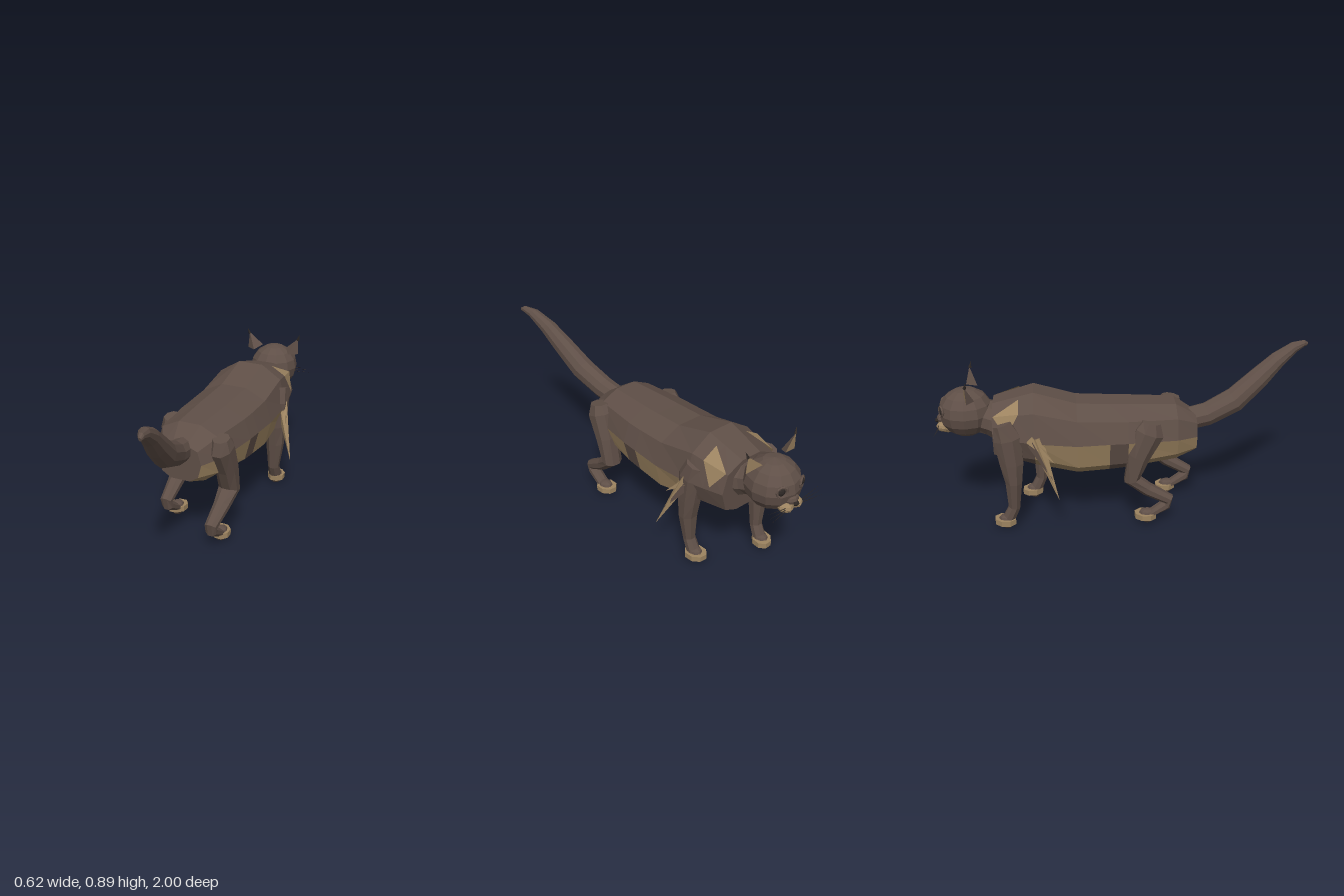
import * as THREE from 'three';

const flat = (name, color) => new THREE.MeshStandardMaterial({ name, color, flatShading: true, side: THREE.DoubleSide });
const brown = flat('brown fur', 0x5f4f47);
const tan = flat('tan fur', 0x9c8360);
const dark = flat('dark markings', 0x2e2825);
const V = (x, y, z) => new THREE.Vector3(x, y, z);

function named(geo, mat, name) {
  const m = new THREE.Mesh(geo, mat);
  m.name = name;
  return m;
}

// Flat triangles from a short list of points
function faces(points, mat, name) {
  const g = new THREE.BufferGeometry().setFromPoints(points);
  g.computeVertexNormals();
  return named(g, mat, name);
}

// Skin over a row of rings; pick(i, j) tells whether a panel is tan
function skin(rings, name, pick = () => false) {
  const sets = [[], []];
  const n = rings[0].length;
  for (let i = 0; i < rings.length - 1; i++) {
    for (let j = 0; j < n; j++) {
      const k = (j + 1) % n, p = rings[i], q = rings[i + 1];
      sets[pick(i, j) ? 1 : 0].push(p[j], p[k], q[k], p[j], q[k], q[j]);
    }
  }
  const mid = r => r.reduce((s, p) => s.add(p), V(0, 0, 0)).divideScalar(n);
  const first = rings[0], last = rings[rings.length - 1];
  const c0 = mid(first), c1 = mid(last);
  for (let j = 0; j < n; j++) {
    const k = (j + 1) % n;
    sets[0].push(c0, first[k], first[j], c1, last[j], last[k]);
  }
  const g = new THREE.BufferGeometry().setFromPoints([...sets[0], ...sets[1]]);
  g.addGroup(0, sets[0].length, 0);
  g.addGroup(sets[0].length, sets[1].length, 1);
  g.computeVertexNormals();
  return named(g, [brown, tan], name);
}

// Tapered limb: stations are [x, y, z, half width, half depth]
function limb(stations, name, sides = 8) {
  const c = stations.map(s => V(s[0], s[1], s[2]));
  const rings = stations.map((s, i) => {
    const t = c[Math.min(i + 1, c.length - 1)].clone().sub(c[Math.max(i - 1, 0)]);
    t.x = 0;
    const nrm = t.normalize().cross(V(1, 0, 0));
    return Array.from({ length: sides }, (_, j) => {
      const a = (j + 0.5) / sides * Math.PI * 2;
      return c[i].clone().add(V(Math.cos(a) * s[3], 0, 0)).addScaledVector(nrm, Math.sin(a) * s[4]);
    });
  });
  return skin(rings, name);
}

// Pointed tuft from a to b
function spike(a, b, r, mat, name, sides = 4) {
  const d = b.clone().sub(a);
  const m = named(new THREE.ConeGeometry(r, d.length(), sides), mat, name);
  m.position.copy(a).add(b).multiplyScalar(0.5);
  m.quaternion.setFromUnitVectors(V(0, 1, 0), d.normalize());
  return m;
}

function ball(x, y, z, rx, ry, rz, mat, name, w = 8, h = 6) {
  const m = named(new THREE.SphereGeometry(1, w, h), mat, name);
  m.position.set(x, y, z);
  m.scale.set(rx, ry, rz);
  return m;
}

function foot(z) {
  const g = new THREE.Group();
  g.name = 'foot';
  const pad = named(new THREE.CylinderGeometry(0.05, 0.05, 0.03, 8), tan, 'paw');
  pad.rotation.y = Math.PI / 8;
  pad.scale.z = 1.2;
  pad.position.set(0.168, 0.04, z);
  const sole = named(new THREE.CylinderGeometry(0.042, 0.02, 0.024, 8), brown, 'sole');
  sole.position.set(0.168, 0.013, z + 0.01);
  g.add(pad, sole, ball(0.168, 0.055, z + 0.01, 0.036, 0.022, 0.045, brown, 'pawTop'));
  return g;
}

function hindLeg() {
  const g = new THREE.Group();
  g.name = 'hindLeg';
  g.add(limb([
    [0.178, 0.585, 0.265, 0.045, 0.05], [0.18, 0.53, 0.255, 0.06, 0.08], [0.18, 0.4, 0.2, 0.06, 0.062],
    [0.178, 0.265, 0.165, 0.058, 0.045], [0.174, 0.2, 0.245, 0.045, 0.036], [0.17, 0.13, 0.365, 0.034, 0.03],
    [0.168, 0.1, 0.35, 0.034, 0.03], [0.168, 0.045, 0.26, 0.035, 0.02]], 'hindLegLimb'), foot(0.238));
  return g;
}

function foreLeg() {
  const g = new THREE.Group();
  g.name = 'foreLeg';
  g.add(limb([
    [0.175, 0.6, -0.5, 0.045, 0.05], [0.178, 0.52, -0.475, 0.058, 0.075], [0.178, 0.38, -0.46, 0.056, 0.065],
    [0.176, 0.27, -0.455, 0.052, 0.046], [0.17, 0.12, -0.46, 0.033, 0.032],
    [0.168, 0.045, -0.495, 0.036, 0.034]], 'foreLegLimb'), foot(-0.51));
  return g;
}

// Parts of the left side, mirrored later for the right
function sideParts() {
  const g = new THREE.Group();
  // shoulder marking
  const A = V(0.098, 0.697, -0.555), S = V(0.18, 0.648, -0.555), P = V(0.158, 0.63, -0.685), L = V(0.2, 0.535, -0.62);
  g.add(faces([A, P, S, S, P, L], tan, 'shoulderPatch'));
  // elbow tufts
  g.add(spike(V(0.2, 0.52, -0.47), V(0.31, 0.22, -0.36), 0.035, tan, 'longElbowTuft'));
  g.add(spike(V(0.2, 0.5, -0.49), V(0.285, 0.32, -0.39), 0.03, brown, 'middleElbowTuft'));
  g.add(spike(V(0.2, 0.52, -0.5), V(0.265, 0.41, -0.38), 0.03, tan, 'shortElbowTuft'));
  // ear
  const o = V(0.162, 0.7, -0.81), i = V(0.075, 0.722, -0.83), t = V(0.156, 0.792, -0.815), b = V(0.11, 0.7, -0.775);
  g.add(faces([o, t, b, b, t, i], brown, 'earBack'), faces([o, i, t], tan, 'earInside'));
  g.add(spike(V(0.155, 0.785, -0.813), V(0.166, 0.82, -0.805), 0.009, dark, 'earTuft'));
  // eye and its lid
  const lid = named(new THREE.TorusGeometry(0.026, 0.007, 5, 10), brown, 'eyelid');
  lid.position.set(0.065, 0.632, -0.95);
  lid.rotation.y = -0.45;
  g.add(lid, ball(0.064, 0.632, -0.946, 0.022, 0.022, 0.014, dark, 'eye'));
  // cheek and whiskers
  g.add(ball(0.032, 0.535, -0.945, 0.036, 0.028, 0.042, tan, 'muzzleCheek'));
  for (let k = -1; k <= 1; k++)
    g.add(spike(V(0.045, 0.538 + k * 0.008, -0.97), V(0.18, 0.55 + k * 0.02, -0.98 + k * 0.012), 0.0022, dark, 'whisker', 3));
  return g;
}

export function createModel() {
  const model = new THREE.Group();
  model.name = 'wildCat';

  // Torso rings: z, half width, then heights from spine down to belly
  const torso = [
    [0.37, 0.12, 0.56, 0.535, 0.465, 0.395, 0.365], [0.26, 0.19, 0.632, 0.585, 0.48, 0.39, 0.33],
    [0, 0.222, 0.643, 0.59, 0.485, 0.36, 0.295], [-0.095, 0.225, 0.647, 0.592, 0.485, 0.355, 0.287],
    [-0.26, 0.226, 0.656, 0.6, 0.48, 0.345, 0.277], [-0.48, 0.222, 0.722, 0.65, 0.5, 0.4, 0.33],
    [-0.58, 0.203, 0.695, 0.636, 0.51, 0.41, 0.36], [-0.69, 0.18, 0.665, 0.62, 0.52, 0.42, 0.39]];
  const widths = [0.32, 0.83, 1, 0.85, 0.45];
  const rings = torso.map(([z, w, ...ys]) => {
    const half = ys.map((y, k) => V(w * widths[k], y, z));
    return [...half, ...half.map(p => V(-p.x, p.y, p.z)).reverse()];
  });
  model.add(skin(rings, 'torso', (i, j) => {
    if (i === 2 || i === 5) return false;
    return i === 6 ? j >= 3 && j <= 5 : j >= 2 && j <= 6;
  }));

  // Neck and head
  model.add(limb([[0, 0.55, -0.64, 0.14, 0.12], [0, 0.565, -0.71, 0.11, 0.09], [0, 0.59, -0.8, 0.09, 0.09]], 'neck', 10));
  model.add(ball(0, 0.603, -0.832, 0.138, 0.13, 0.142, brown, 'head', 12, 8));
  model.add(ball(0, 0.57, -0.95, 0.04, 0.03, 0.035, brown, 'snout'));
  model.add(ball(0, 0.508, -0.93, 0.035, 0.018, 0.035, tan, 'chin'));
  model.add(ball(0, 0.558, -0.984, 0.018, 0.012, 0.012, dark, 'nose', 6, 4));

  // Raised tail swinging to one side
  model.add(limb([
    [0, 0.52, 0.33, 0.06, 0.062], [0.012, 0.54, 0.44, 0.062, 0.064], [0.042, 0.605, 0.59, 0.064, 0.068],
    [0.075, 0.71, 0.72, 0.056, 0.06], [0.105, 0.8, 0.825, 0.046, 0.046], [0.135, 0.86, 0.92, 0.032, 0.03],
    [0.156, 0.874, 0.98, 0.017, 0.018], [0.163, 0.868, 1, 0.008, 0.01]], 'tail', 10));

  // Mirrored details, with the legs in mid-stride
  for (const s of [1, -1]) {
    const side = new THREE.Group();
    side.name = s > 0 ? 'leftSide' : 'rightSide';
    const hind = hindLeg(), fore = foreLeg();
    if (s < 0) {
      hind.position.z = -0.145;
      fore.position.z = -0.14;
    }
    side.add(hind, fore, sideParts());
    side.scale.x = s;
    model.add(side);
  }
  return model;
}
